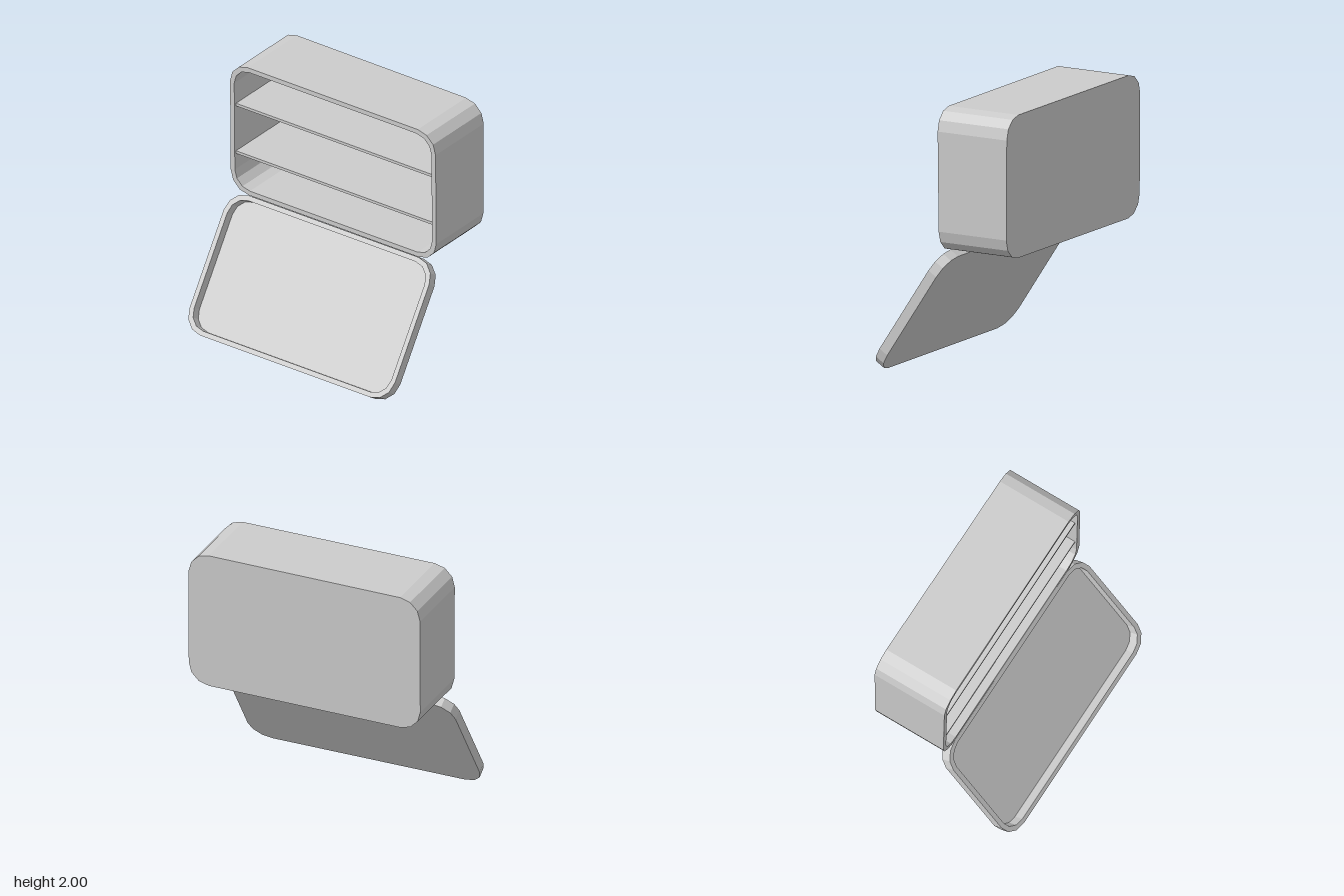
import * as THREE from 'three';

const material = new THREE.MeshStandardMaterial({ color: 0xcccccc, flatShading: true });

// Rounded rectangle outline, counter-clockwise, three facets per corner
function outline(w, h, r) {
  const points = [];
  const corners = [[1, 1], [-1, 1], [-1, -1], [1, -1]];
  corners.forEach(([sx, sy], c) => {
    for (let i = 0; i <= 3; i++) {
      const a = (c + i / 3) * Math.PI / 2;
      points.push([sx * (w / 2 - r) + r * Math.cos(a), sy * (h / 2 - r) + r * Math.sin(a)]);
    }
  });
  return points;
}

// Hollow tray open towards +z: outer skin, rim, inner walls and floor in one loft
function trayGeometry(w, h, depth, wall, floor) {
  const r = 0.16;
  const outer = outline(w, h, r);
  const inner = outline(w - 2 * wall, h - 2 * wall, r - wall * 0.7);
  const centre = outer.map(() => [0, 0]);
  const rings = [
    [centre, -depth], [outer, -depth], [outer, 0],
    [inner, 0], [inner, floor - depth], [centre, floor - depth],
  ];
  const position = [];
  for (let k = 0; k < rings.length - 1; k++) {
    const [a, za] = rings[k];
    const [b, zb] = rings[k + 1];
    for (let i = 0; i < a.length; i++) {
      const j = (i + 1) % a.length;
      if (b !== centre) position.push(...a[i], za, ...b[j], zb, ...b[i], zb);
      if (a !== centre) position.push(...a[i], za, ...a[j], za, ...b[j], zb);
    }
  }
  const geometry = new THREE.BufferGeometry();
  geometry.setAttribute('position', new THREE.Float32BufferAttribute(position, 3));
  return geometry;
}

function addMesh(parent, name, geometry) {
  geometry.computeVertexNormals();
  const mesh = new THREE.Mesh(geometry, material);
  mesh.name = name;
  parent.add(mesh);
  return mesh;
}

export function createModel() {
  const model = new THREE.Group();
  model.name = 'openCase';
  const W = 1.85, H = 1.06;

  // Deep case, slightly out of true: deeper at the top and on its right
  const caseGeometry = trayGeometry(W, H, 0.573, 0.037, 0.025);
  const p = caseGeometry.attributes.position;
  for (let i = 0; i < p.count; i++) {
    const t = p.getY(i) / H + 0.5;
    const z = p.getZ(i);
    p.setZ(i, z > -0.1 ? z + 0.012 * t : z - 0.006 * t + 0.006 * p.getX(i));
  }
  addMesh(model, 'caseBody', caseGeometry).position.y = 2 - H / 2;

  // Two shelves
  for (const [name, y] of [['upperShelf', 1.643], ['lowerShelf', 1.25]]) {
    addMesh(model, name, new THREE.BoxGeometry(W - 0.074, 0.022, 0.538)).position.set(0, y, -0.281);
  }

  // Shallow lid swung down around the case's lower front edge
  const hinge = new THREE.Group();
  hinge.name = 'lidHinge';
  hinge.position.set(0, 0.937, 0);
  hinge.rotation.x = -0.582;
  model.add(hinge);
  const lidH = 1.07;
  addMesh(hinge, 'lid', trayGeometry(W, lidH, 0.078, 0.037, 0.003)).position.y = -lidH / 2;

  return model;
}
